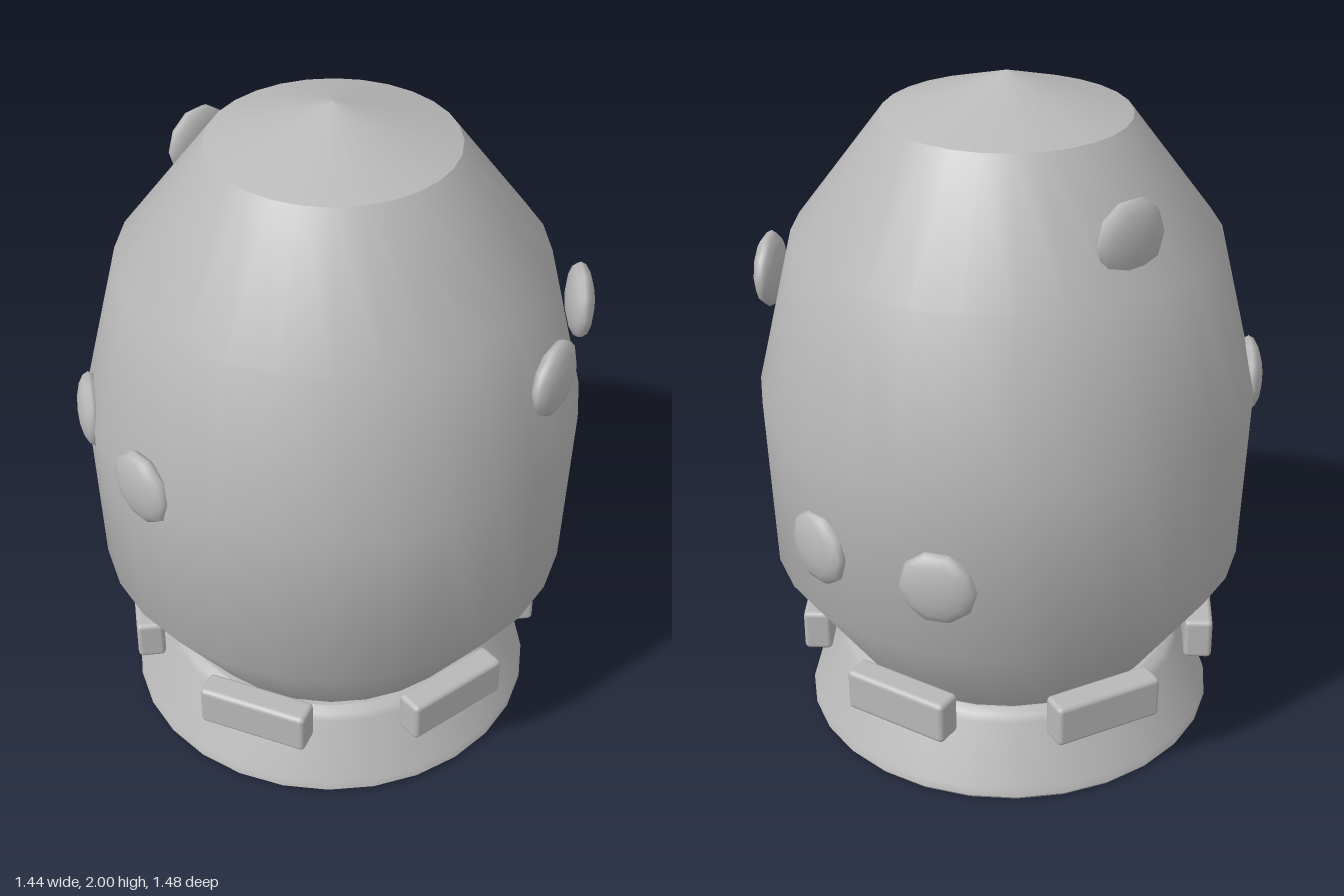
import * as THREE from 'three';
import { RoundedBoxGeometry } from 'three/addons/geometries/RoundedBoxGeometry.js';

const SIDES = 28;
const BODY_Z = -0.008;

export function createModel() {
  const model = new THREE.Group();
  model.name = 'studdedVessel';
  const grey = new THREE.MeshStandardMaterial({ color: 0xb8b8b8 });
  grey.name = 'plain grey';

  const add = (name, geometry, parent = model) => {
    const mesh = new THREE.Mesh(geometry, grey);
    mesh.name = name;
    parent.add(mesh);
    return mesh;
  };
  const lathe = (points) =>
    new THREE.LatheGeometry(points.map(([r, y]) => new THREE.Vector2(r, y)), SIDES);

  // Flared base: separate bands keep the rims crisp
  const base = new THREE.Group();
  base.name = 'base';
  model.add(base);
  add('baseUnderside', lathe([[0, 0], [0.612, 0]]), base);
  add('baseRim', lathe([[0.612, 0], [0.622, 0.012]]), base);
  add('baseWall', lathe([[0.622, 0.012], [0.615, 0.035], [0.525, 0.205], [0.512, 0.224], [0.488, 0.235]]), base);
  add('baseTop', lathe([[0.488, 0.235], [0, 0.235]]), base);

  // Barrel-shaped body with a shallow pointed cap
  const body = add('body', lathe([
    [0.44, 0.18], [0.70, 0.55], [0.72, 1.08], [0.61, 1.54], [0.35, 1.885],
  ]));
  body.position.z = BODY_Z;
  const cap = add('cap', lathe([[0.35, 1.885], [0, 2]]));
  cap.position.z = BODY_Z;

  // Six rounded blocks around the neck
  const blockShape = new RoundedBoxGeometry(0.085, 0.13, 0.335, 2, 0.015);
  for (let i = 0; i < 6; i++) {
    const angle = (i * Math.PI) / 3;
    const block = add('block' + (i + 1), blockShape);
    block.position.set(0.5825 * Math.cos(angle), 0.263, 0.5825 * Math.sin(angle));
    block.rotation.y = -angle;
  }

  // Lens-shaped studs, each facing straight outwards
  const studShape = new THREE.SphereGeometry(0.112, 10, 8);
  studShape.scale(1, 0.36, 1);
  studShape.rotateX(Math.PI / 2);
  const studs = [
    [-0.325, 1.08, 0.62], [0.06, 1.08, 0.698],
    [0.655, 1.365, -0.25], [0.425, 1.365, -0.565],
    [-0.18, 0.78, -0.69], [-0.52, 0.78, -0.49],
    [-0.52, 1.68, 0.08],
  ];
  studs.forEach(([x, y, z], i) => {
    const stud = add('stud' + (i + 1), studShape);
    stud.position.set(x, y, z);
    stud.rotation.y = Math.atan2(x, z);
  });

  return model;
}
